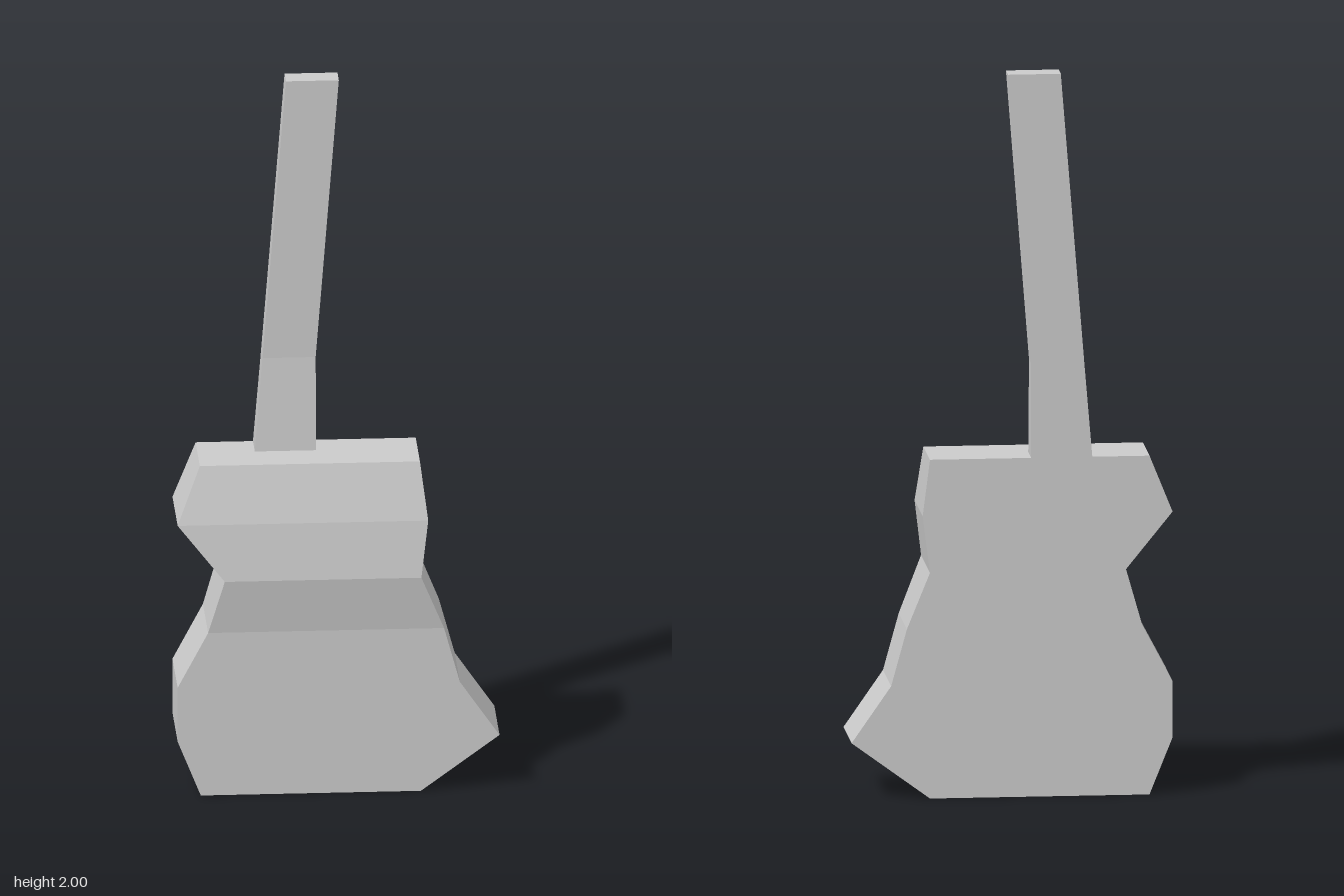
import * as THREE from 'three';

const BACK = -0.127; // flat back shared by body and neck
const material = new THREE.MeshStandardMaterial({ color: 0xcccccc, flatShading: true });

// Shapes a segmented box by rows of [y, left x, right x, front z], bottom to top
function sectionedBlock(name, rows) {
  const steps = rows.length - 1;
  const box = new THREE.BoxGeometry(1, 1, 1, 1, steps, 1);
  const pos = box.attributes.position;
  for (let i = 0; i < pos.count; i++) {
    const [y, x0, x1, front] = rows[Math.round((pos.getY(i) + 0.5) * steps)];
    pos.setXYZ(i, pos.getX(i) < 0 ? x0 : x1, y, pos.getZ(i) < 0 ? BACK : front);
  }
  const geometry = box.toNonIndexed();
  geometry.computeVertexNormals();
  const mesh = new THREE.Mesh(geometry, material);
  mesh.name = name;
  return mesh;
}

export function createModel() {
  const group = new THREE.Group();
  group.name = 'guitar';

  // Waisted body with a pointed lower corner
  group.add(sectionedBlock('body', [
    [0, -0.375, 0.224, 0.103],
    [0.157, -0.438, 0.438, 0.103],
    [0.313, -0.438, 0.33, 0.103],
    [0.47, -0.355, 0.287, 0.103],
    [0.625, -0.311, 0.224, 0.125],
    [0.782, -0.438, 0.244, 0.103],
    [0.938, -0.375, 0.224, 0.06],
  ]));

  // Leaning neck, thicker at the heel
  group.add(sectionedBlock('neck', [
    [0.938, -0.219, -0.052, -0.045],
    [1.2, -0.197, -0.052, -0.066],
    [2, -0.133, 0.011, -0.066],
  ]));

  return group;
}
